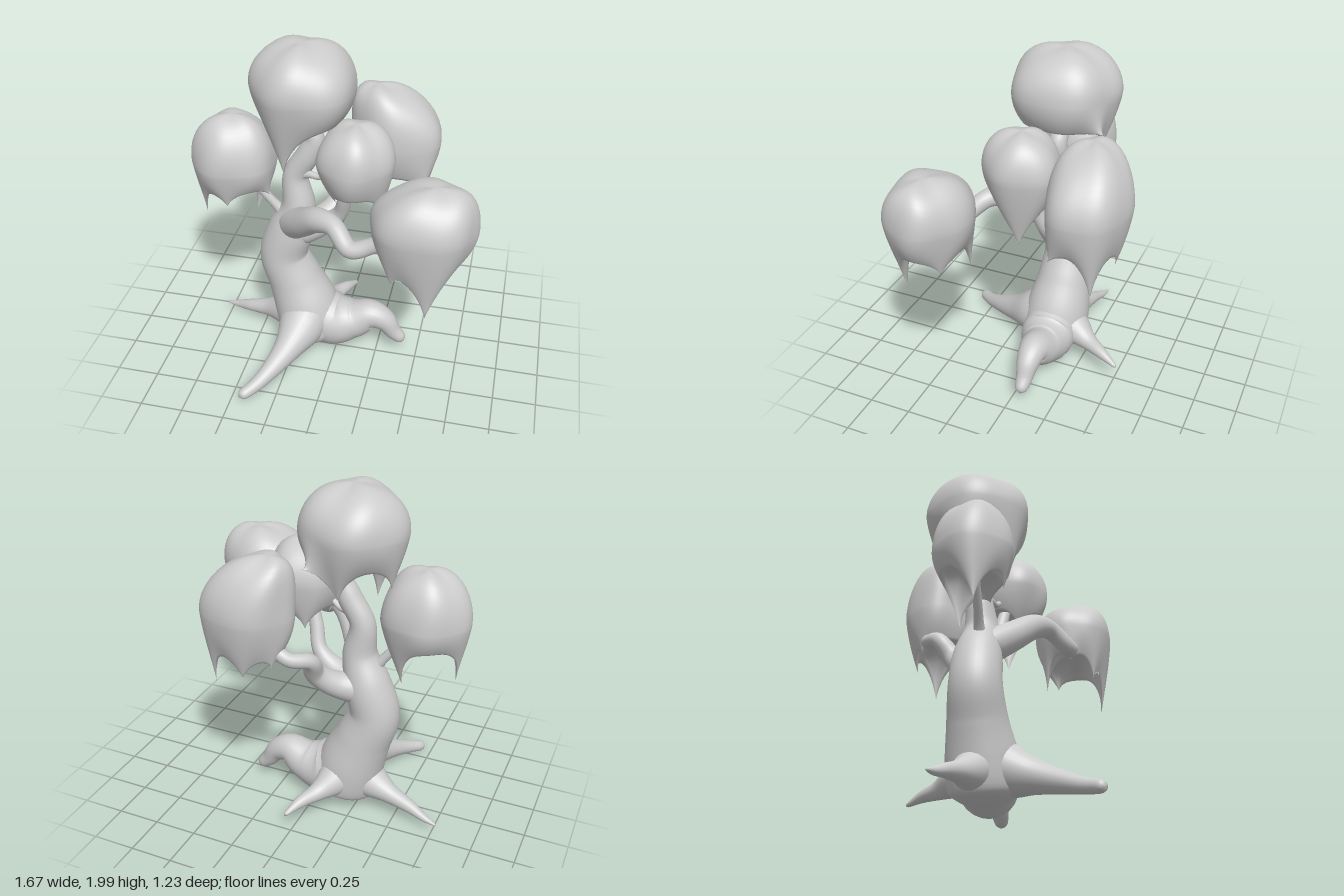
import * as THREE from 'three';
import { mergeVertices } from 'three/addons/utils/BufferGeometryUtils.js';

const material = new THREE.MeshStandardMaterial({ color: 0xcccccc });

function smoothMesh(name, geometry) {
  geometry.deleteAttribute('uv');
  geometry.deleteAttribute('normal');
  const merged = mergeVertices(geometry, 1e-5);
  merged.computeVertexNormals();
  const mesh = new THREE.Mesh(merged, material);
  mesh.name = name;
  return mesh;
}

// Tapered limb through [x, y, z, radius] stations, with rounded ends
function limb(name, stations, sides = 24) {
  const segs = stations.length * 8;
  const curve = new THREE.CatmullRomCurve3(stations.map(([x, y, z]) => new THREE.Vector3(x, y, z)));
  const radii = new THREE.SplineCurve(stations.map((s, i) => new THREE.Vector2(i, s[3])));
  const geometry = new THREE.TubeGeometry(curve, segs, 1, sides);
  const pos = geometry.attributes.position, nor = geometry.attributes.normal;
  const n = new THREE.Vector3();
  for (let i = 0; i <= segs; i++) {
    const u = i / segs, p = curve.getPointAt(u);
    const end = Math.max(0, 1 - Math.min(u, 1 - u) / 0.06);
    const r = radii.getPoint(curve.getUtoTmapping(u)).y * Math.sqrt(1 - end * end);
    for (let j = 0; j <= sides; j++) {
      const k = i * (sides + 1) + j;
      n.fromBufferAttribute(nor, k).multiplyScalar(r).add(p);
      pos.setXYZ(k, n.x, n.y, n.z);
    }
  }
  return smoothMesh(name, geometry);
}

// Domed foliage clump whose hem is pulled into hanging points.
// drips: [tipX, tipY, tipZ, angular width]
function foliage(name, { x, z, rx, rz, top, wide, hem, under, peak = [0, 0], seed, drips }) {
  const rows = 34, outer = 24, sides = 96;
  const verts = [], index = [];
  const { lerp } = THREE.MathUtils;
  for (let i = 0; i <= rows; i++) {
    for (let j = 0; j <= sides; j++) {
      const a = (j % sides) / sides * Math.PI * 2;
      let r, y, pull = 0, crown = 0;
      if (i <= 12) { // dome
        const phi = i / 12 * Math.PI / 2;
        r = Math.pow(Math.sin(phi), 0.85);
        crown = Math.cos(phi);
        y = lerp(wide, top, crown);
      } else if (i <= outer) { // skirt
        const s = (i - 12) / (outer - 12);
        r = 1 - 0.2 * s * s;
        y = lerp(wide, hem, s);
        pull = Math.pow(s, 1.3);
      } else { // underside
        const s = (i - outer) / (rows - outer);
        r = 0.8 * (1 - s);
        y = lerp(hem, under, Math.sqrt(s));
        pull = Math.pow(1 - s, 3);
      }
      // soft lumps
      const lump = 1 + 0.035 * Math.sin(2 * a + seed) + 0.03 * Math.sin(5 * a + seed * 2 + y * 5);
      y += 0.02 * Math.sin(3 * a + seed * 3) * r * crown;
      let px = x + Math.cos(a) * rx * r * lump + peak[0] * crown * crown;
      let pz = z + Math.sin(a) * rz * r * lump + peak[1] * crown * crown;
      for (const [tx, ty, tz, width] of drips) {
        const at = Math.atan2((tz - z) / rz, (tx - x) / rx);
        const d = Math.atan2(Math.sin(a - at), Math.cos(a - at)) / width;
        const w = Math.exp(-d * d) * pull;
        px = lerp(px, tx, w * 0.88);
        pz = lerp(pz, tz, w * 0.88);
        y = lerp(y, ty, w);
      }
      verts.push(px, y, pz);
    }
  }
  for (let i = 0; i < rows; i++) {
    for (let j = 0; j < sides; j++) {
      const p = i * (sides + 1) + j, q = p + sides + 1;
      if (i > 0) index.push(p, p + 1, q);
      if (i < rows - 1) index.push(p + 1, q + 1, q);
    }
  }
  const geometry = new THREE.BufferGeometry();
  geometry.setAttribute('position', new THREE.Float32BufferAttribute(verts, 3));
  geometry.setIndex(index);
  return smoothMesh(name, geometry);
}

export function createModel() {
  const tree = new THREE.Group();
  tree.name = 'tree';

  // Winding trunk
  tree.add(limb('trunk', [
    [-0.14, 0.02, -0.04, 0.12], [-0.16, 0.12, -0.04, 0.19], [-0.2, 0.28, -0.05, 0.195],
    [-0.27, 0.46, -0.06, 0.165], [-0.335, 0.64, -0.06, 0.145], [-0.29, 0.82, -0.06, 0.135],
    [-0.235, 1.0, -0.05, 0.1], [-0.25, 1.2, -0.06, 0.073], [-0.17, 1.35, -0.06, 0.068],
    [-0.135, 1.45, -0.06, 0.055], [-0.2, 1.56, -0.07, 0.045], [-0.2, 1.72, -0.08, 0.04],
  ], 32));

  // Roots
  tree.add(limb('rightRoot', [
    [-0.2, 0.28, -0.05, 0.15], [-0.03, 0.185, -0.05, 0.165], [0.1, 0.2, -0.06, 0.125],
    [0.21, 0.25, -0.06, 0.09], [0.29, 0.22, -0.06, 0.07], [0.35, 0.14, -0.06, 0.05], [0.42, 0.075, -0.06, 0.035],
  ]));
  tree.add(limb('frontRoot', [
    [-0.18, 0.27, -0.03, 0.15], [-0.2, 0.21, 0.1, 0.14], [-0.24, 0.16, 0.24, 0.09],
    [-0.3, 0.11, 0.38, 0.06], [-0.37, 0.065, 0.5, 0.042], [-0.45, 0.035, 0.6, 0.033],
  ]));
  tree.add(limb('leftRoot', [
    [-0.2, 0.24, -0.05, 0.15], [-0.34, 0.18, -0.08, 0.105], [-0.46, 0.145, -0.11, 0.06],
    [-0.6, 0.11, -0.14, 0.038], [-0.7, 0.08, -0.17, 0.022], [-0.78, 0.065, -0.19, 0.008],
  ]));
  tree.add(limb('backRoot', [
    [-0.18, 0.25, -0.06, 0.16], [-0.13, 0.2, -0.2, 0.1], [-0.08, 0.17, -0.3, 0.055],
    [-0.02, 0.155, -0.41, 0.034], [0.03, 0.12, -0.52, 0.012],
  ]));

  // Branches
  tree.add(limb('frontBranch', [
    [-0.27, 0.88, -0.04, 0.1], [-0.17, 0.99, 0.1, 0.085], [-0.05, 1.1, 0.22, 0.07],
    [0.05, 1.12, 0.29, 0.055], [0.16, 1.05, 0.38, 0.05], [0.27, 1.09, 0.38, 0.045], [0.45, 1.22, 0.4, 0.035],
  ]));
  tree.add(limb('backBranch', [
    [-0.27, 0.8, -0.07, 0.1], [-0.13, 0.85, -0.17, 0.075], [-0.05, 0.94, -0.25, 0.06],
    [-0.06, 1.06, -0.34, 0.045], [0.03, 1.1, -0.43, 0.04], [0.2, 1.22, -0.42, 0.035],
  ]));
  tree.add(limb('middleBranch', [
    [-0.24, 0.82, -0.06, 0.1], [-0.08, 0.89, -0.06, 0.065], [0.01, 0.98, -0.05, 0.045],
    [0.05, 1.12, -0.01, 0.04], [0.12, 1.35, 0.03, 0.03],
  ]));
  tree.add(limb('leftBranch', [
    [-0.26, 0.86, -0.05, 0.07], [-0.35, 0.97, -0.04, 0.032], [-0.44, 1.08, -0.03, 0.025], [-0.58, 1.25, -0.02, 0.022],
  ], 14));
  tree.add(limb('twig', [
    [-0.25, 1.2, -0.05, 0.03], [-0.16, 1.235, -0.02, 0.022], [-0.09, 1.24, 0, 0.018], [0.02, 1.33, 0.03, 0.015],
  ], 12));

  // Drooping foliage clumps
  tree.add(foliage('topFoliage', {
    x: -0.2, z: -0.08, rx: 0.285, rz: 0.305, top: 2.0, wide: 1.76, hem: 1.59, under: 1.62, seed: 1,
    drips: [[-0.27, 1.3, 0.1, 0.6], [-0.43, 1.46, -0.12, 0.3], [-0.2, 1.42, -0.28, 0.35], [-0.02, 1.6, -0.38, 0.25]],
  }));
  tree.add(foliage('leftFoliage', {
    x: -0.595, z: -0.02, rx: 0.235, rz: 0.22, top: 1.57, wide: 1.28, hem: 1.15, under: 1.22, seed: 2.3,
    drips: [[-0.77, 0.92, 0.02, 0.5], [-0.51, 0.9, -0.1, 0.5], [-0.38, 1.1, 0.03, 0.3], [-0.6, 1.06, 0.14, 0.4]],
  }));
  tree.add(foliage('middleFoliage', {
    x: 0.12, z: 0.045, rx: 0.21, rz: 0.22, top: 1.62, wide: 1.4, hem: 1.24, under: 1.28, seed: 3.1,
    drips: [[0.22, 0.97, 0.02, 0.7], [0.03, 1.15, 0.1, 0.4], [0.08, 1.12, -0.1, 0.4]],
  }));
  tree.add(foliage('frontFoliage', {
    x: 0.54, z: 0.38, rx: 0.29, rz: 0.225, top: 1.5, wide: 1.27, hem: 1.1, under: 1.17, peak: [0.06, 0], seed: 4.6,
    drips: [[0.59, 0.78, 0.52, 0.6], [0.42, 0.89, 0.22, 0.3], [0.29, 1.04, 0.38, 0.3],
      [0.4, 0.95, 0.5, 0.28], [0.68, 1.0, 0.26, 0.4]],
  }));
  tree.add(foliage('backFoliage', {
    x: 0.275, z: -0.4, rx: 0.27, rz: 0.215, top: 1.66, wide: 1.34, hem: 1.14, under: 1.22, peak: [-0.12, 0.02], seed: 5.4,
    drips: [[0.44, 0.9, -0.48, 0.4], [0.24, 1.0, -0.54, 0.4], [0.47, 1.08, -0.25, 0.35], [0.1, 1.06, -0.48, 0.3]],
  }));

  return tree;
}
